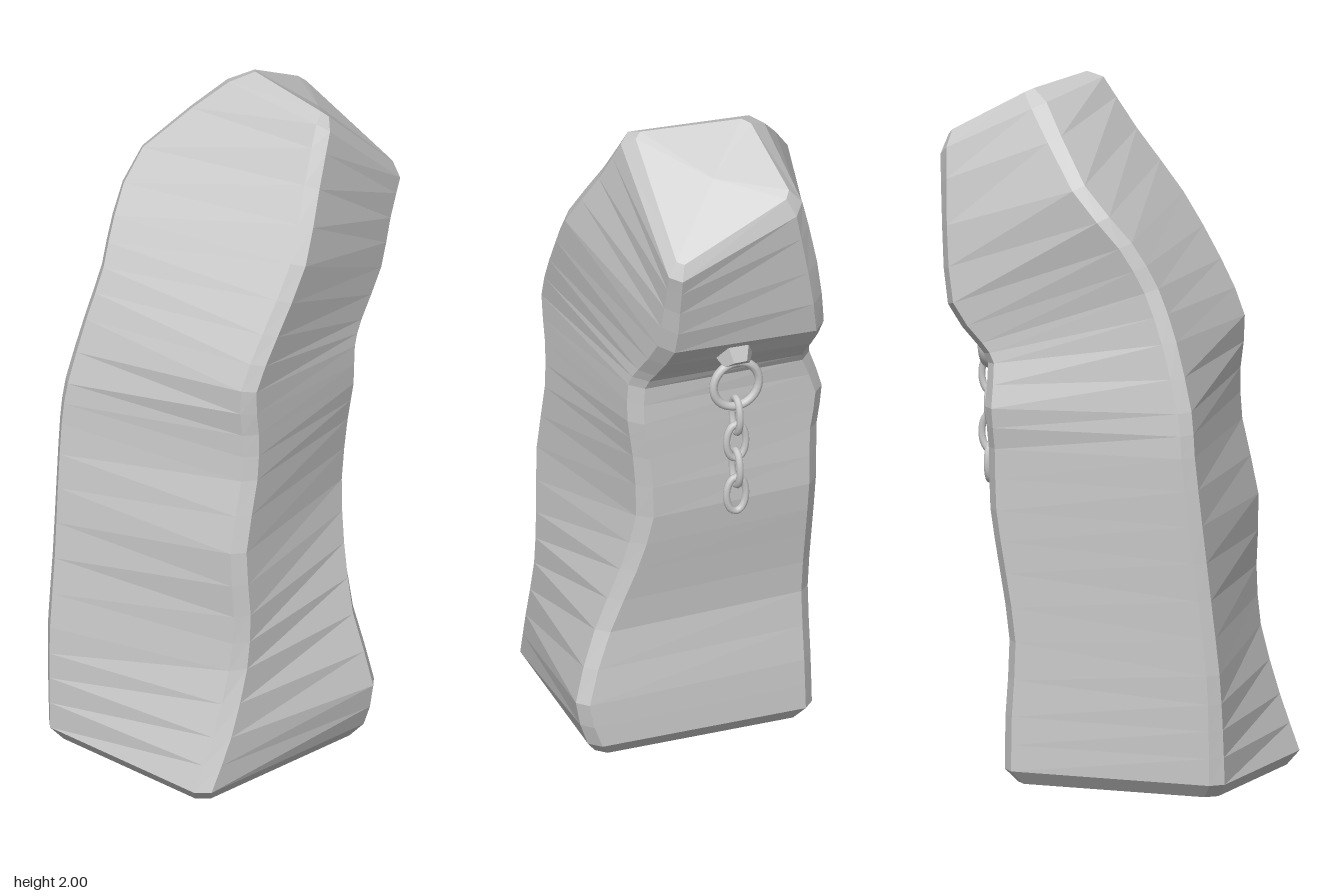
import * as THREE from 'three';

const stone = new THREE.MeshStandardMaterial({ color: 0xcccccc, flatShading: true });
const metal = new THREE.MeshStandardMaterial({ color: 0xcccccc });

// The four long edges of the leaning pillar, from the foot to the slanted top
const edge = (pts) => new THREE.CatmullRomCurve3(
  pts.map((p) => new THREE.Vector3(...p)), false, 'catmullrom', 0.4);
const edges = [
  edge([[-.47, .04, .30], [-.40, .2, .31], [-.335, .4, .315], [-.32, .57, .32], [-.33, .78, .315], [-.28, 1, .31],
    [-.275, 1.15, .31], [-.29, 1.3, .315], [-.21, 1.46, .325], [-.09, 1.65, .325], [.03, 1.84, .265], [.13, 2.02, .22]]),
  edge([[.195, .04, .34], [.195, .18, .38], [.18, .4, .31], [.21, .6, .24], [.24, .78, .2], [.25, .98, .215],
    [.255, 1.1, .235], [.26, 1.22, .235], [.30, 1.28, .22], [.40, 1.4, .2], [.44, 1.54, .2], [.485, 1.68, .205]]),
  edge([[.2, .04, -.36], [.2, .2, -.355], [.19, .42, -.35], [.22, .62, -.35], [.25, .8, -.35], [.255, .98, -.35],
    [.26, 1.1, -.365], [.27, 1.22, -.32], [.31, 1.27, -.31], [.40, 1.38, -.31], [.435, 1.6, -.27], [.465, 1.86, -.21]]),
  edge([[-.48, .04, -.335], [-.48, .2, -.34], [-.475, .36, -.345], [-.45, .58, -.35], [-.425, .8, -.36], [-.405, 1, -.365],
    [-.39, 1.13, -.355], [-.33, 1.33, -.335], [-.27, 1.48, -.325], [-.20, 1.61, -.35], [-.06, 1.77, -.37], [.18, 2.02, -.17]]),
];

// Cuts each of the four corners of a section, giving eight points
function chamfer(corners, size) {
  const ring = [];
  corners.forEach((p, i) => {
    for (const step of [3, 1]) {
      const q = corners[(i + step) % 4];
      ring.push(p.clone().lerp(q, size / p.distanceTo(q)));
    }
  });
  return ring;
}

function centre(points) {
  const c = new THREE.Vector3();
  points.forEach((p) => c.add(p));
  return c.divideScalar(points.length);
}

function pillarGeometry() {
  const section = (t) => edges.map((e) => e.getPoint(t));
  const rings = [];

  // Bevelled foot
  const foot = section(0);
  const footMid = centre(foot);
  rings.push(chamfer(foot.map((p) => p.clone().lerp(footMid, .09).setY(0)), .03));

  // Shaft
  const levels = 22;
  for (let i = 0; i < levels; i++) rings.push(chamfer(section(i / levels), .034));
  rings.push(chamfer(section(.982), .034));

  // Bevelled slanted top
  const top = section(1);
  const topMid = centre(top);
  rings.push(chamfer(top.map((p) => p.clone().lerp(topMid, .13)), .02));

  const verts = [];
  const tri = (...ps) => ps.forEach((p) => verts.push(p.x, p.y, p.z));
  for (let j = 0; j < rings.length - 1; j++) {
    for (let i = 0; i < 8; i++) {
      const k = (i + 1) % 8;
      const [a, b, c, d] = [rings[j][i], rings[j][k], rings[j + 1][k], rings[j + 1][i]];
      tri(a, b, c);
      tri(a, c, d);
    }
  }
  const first = rings[0], last = rings[rings.length - 1];
  const low = centre(first), high = centre(last);
  for (let i = 0; i < 8; i++) {
    const k = (i + 1) % 8;
    tri(low, first[k], first[i]);
    tri(high, last[i], last[k]);
  }
  const geo = new THREE.BufferGeometry();
  geo.setAttribute('position', new THREE.Float32BufferAttribute(verts, 3));
  geo.computeVertexNormals();
  return geo;
}

// Oval chain link lying in the xy plane
function linkGeometry(halfWidth, halfHeight, thickness) {
  const pts = [];
  for (let i = 0; i < 12; i++) {
    const a = (i / 12) * Math.PI * 2;
    pts.push(new THREE.Vector3(Math.cos(a) * halfWidth, Math.sin(a) * halfHeight, 0));
  }
  return new THREE.TubeGeometry(new THREE.CatmullRomCurve3(pts, true), 28, thickness, 8, true);
}

export function createModel() {
  const group = new THREE.Group();
  const add = (name, geo, mat, x, y, z, parent = group) => {
    const mesh = new THREE.Mesh(geo, mat);
    mesh.name = name;
    mesh.position.set(x, y, z);
    parent.add(mesh);
    return mesh;
  };

  add('stonePillar', pillarGeometry(), stone, 0, 0, 0);

  // Six-sided bolt under the overhang
  const bolt = add('chainMount', new THREE.CylinderGeometry(.04, .075, .07, 6), stone, .35, 1.33, -.04);
  bolt.quaternion.setFromUnitVectors(new THREE.Vector3(0, 1, 0), new THREE.Vector3(.65, -.76, 0).normalize());

  // Hanging ring and four links, alternately turned
  const chain = new THREE.Group();
  chain.name = 'chain';
  chain.position.set(.365, 0, -.04);
  group.add(chain);
  add('ring', new THREE.TorusGeometry(.071, .013, 8, 28), metal, 0, 1.238, 0, chain).rotation.y = Math.PI / 2;
  const link = linkGeometry(.03, .055, .011);
  [1.137, 1.052, .966, .88].forEach((y, i) => {
    add('link' + (i + 1), link, metal, 0, y, 0, chain).rotation.y = i % 2 ? Math.PI / 2 : 0;
  });

  return group;
}
